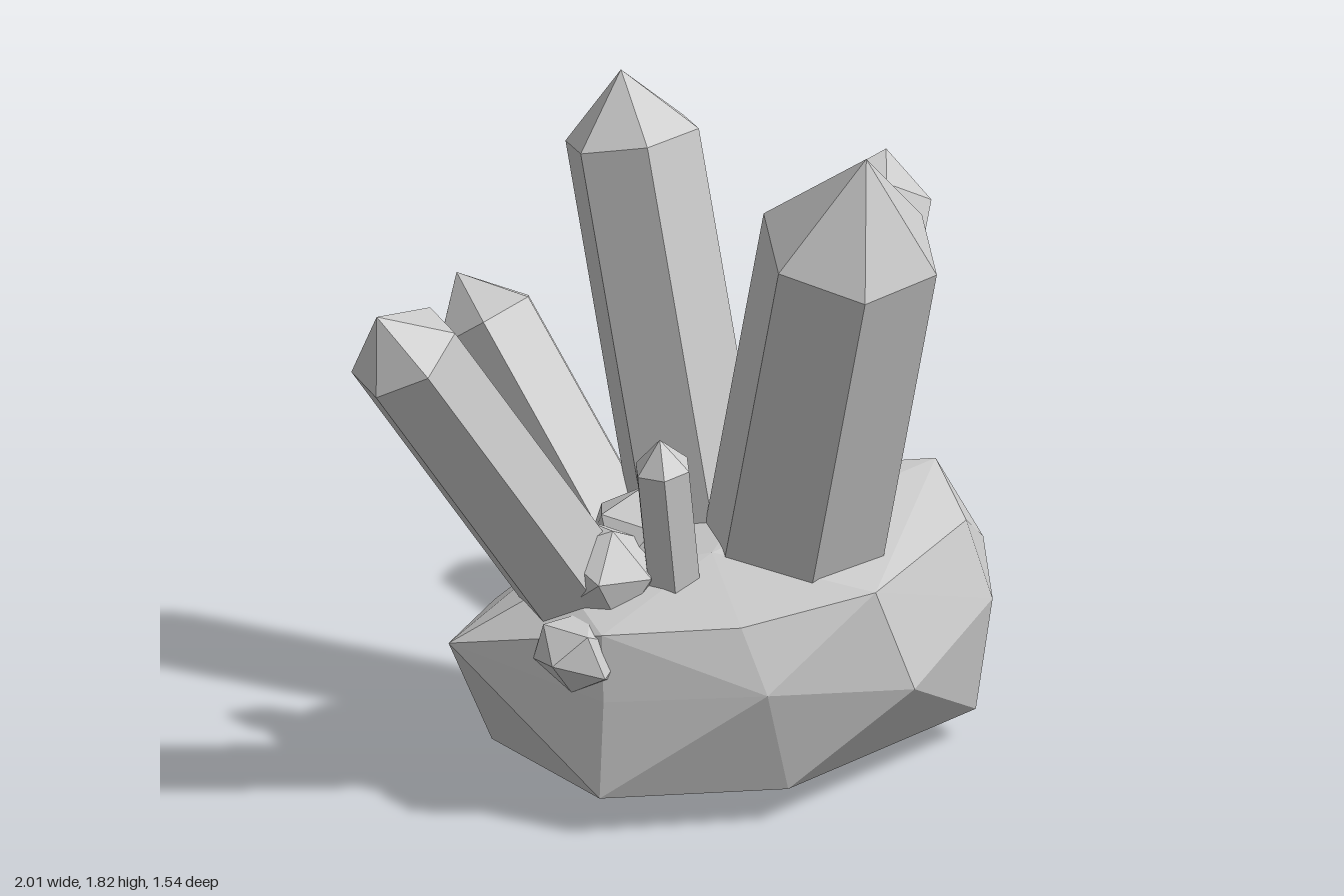
import * as THREE from 'three';
import { ConvexGeometry } from 'three/addons/geometries/ConvexGeometry.js';

const stone = new THREE.MeshStandardMaterial({ color: 0xcccccc, flatShading: true });

// Six-sided prism with a pointed end, running from base to tip
function crystal(name, base, tip, radius, pointLength, turn) {
  const from = new THREE.Vector3(...base);
  const axis = new THREE.Vector3(...tip).sub(from);
  const length = axis.length();
  const profile = [[0, 0], [radius, 0], [radius, length - pointLength], [0, length]];
  const geometry = new THREE.LatheGeometry(profile.map(([x, y]) => new THREE.Vector2(x, y)), 6);
  geometry.rotateY(THREE.MathUtils.degToRad(turn));
  const mesh = new THREE.Mesh(geometry, stone);
  mesh.name = name;
  mesh.position.copy(from);
  mesh.quaternion.setFromUnitVectors(new THREE.Vector3(0, 1, 0), axis.normalize());
  return mesh;
}

// Faceted boulder wrapped around a few corner points
function boulder(name, corners) {
  const mesh = new THREE.Mesh(new ConvexGeometry(corners.map((c) => new THREE.Vector3(...c))), stone);
  mesh.name = name;
  return mesh;
}

// Small angular stone
function chunk(name, position, size, turn) {
  const mesh = new THREE.Mesh(new THREE.IcosahedronGeometry(1, 0), stone);
  mesh.name = name;
  mesh.position.set(...position);
  mesh.scale.set(...size);
  mesh.rotation.set(turn, turn * 2, 0);
  return mesh;
}

export function createModel() {
  const group = new THREE.Group();
  group.name = 'crystalCluster';

  group.add(boulder('baseRock', [
    // underside
    [0.05, 0, -0.03], [0.2, 0.01, 0.02], [-0.38, 0.06, -0.37], [0.25, 0.09, -0.4],
    [0.58, 0.09, 0], [0.62, 0.15, 0.29], [0.46, 0.08, 0.52], [-0.6, 0.1, 0.13], [-0.25, 0.09, 0.46],
    // widest belt
    [0, 0.33, 0.67], [-0.35, 0.38, 0.47], [0.45, 0.4, 0.58], [0.68, 0.44, 0.38], [0.73, 0.43, -0.08],
    [0.31, 0.32, -0.32], [0, 0.31, -0.45], [-0.26, 0.38, -0.45],
    [-0.63, 0.42, -0.32], [-0.57, 0.35, 0.12],
    // upper rim
    [-0.07, 0.6, 0.6], [0.42, 0.61, 0.52], [0.56, 0.68, 0.32], [0.3, 0.66, 0], [0.28, 0.57, -0.22],
    [-0.15, 0.58, -0.25], [-0.45, 0.59, -0.1], [-0.55, 0.52, 0.1], [-0.34, 0.54, 0.38], [-0.22, 0.66, 0.2],
  ]));

  // Large crystals
  group.add(
    crystal('frontCrystal', [0.07, 0.3, 0.18], [-0.15, 1.82, 0.63], 0.235, 0.28, 17),
    crystal('middleCrystal', [0.06, 0.4, -0.01], [0.11, 1.73, -0.33], 0.178, 0.17, 20),
    crystal('rightCrystal', [-0.3, 0.4, -0.05], [-0.96, 1.43, -0.3], 0.148, 0.14, 30),
    crystal('leftCrystal', [0.3, 0.38, 0.1], [0.945, 1.28, -0.12], 0.148, 0.12, 12),
    crystal('backCrystal', [0, 0.3, -0.15], [-0.03, 1.12, -0.74], 0.148, 0.14, 12),
  );

  // Small crystals
  group.add(
    crystal('smallFrontCrystal', [-0.28, 0.45, 0.14], [-0.36, 1.0, 0.14], 0.075, 0.08, 10),
    crystal('smallBackCrystal', [-0.24, 0.4, -0.17], [-0.36, 0.79, -0.45], 0.073, 0.07, 10),
  );

  // Loose stones around the crystal feet
  group.add(
    chunk('stoneMiddle', [-0.24, 0.63, -0.03], [0.17, 0.14, 0.13], 0.4),
    chunk('stoneRight', [-0.4, 0.61, -0.01], [0.15, 0.14, 0.14], 0.9),
    chunk('stoneSide', [-0.53, 0.45, 0.02], [0.12, 0.1, 0.13], 0.3),
    chunk('stoneLeft', [0.27, 0.65, 0.08], [0.11, 0.13, 0.15], 0.6),
  );
  return group;
}
